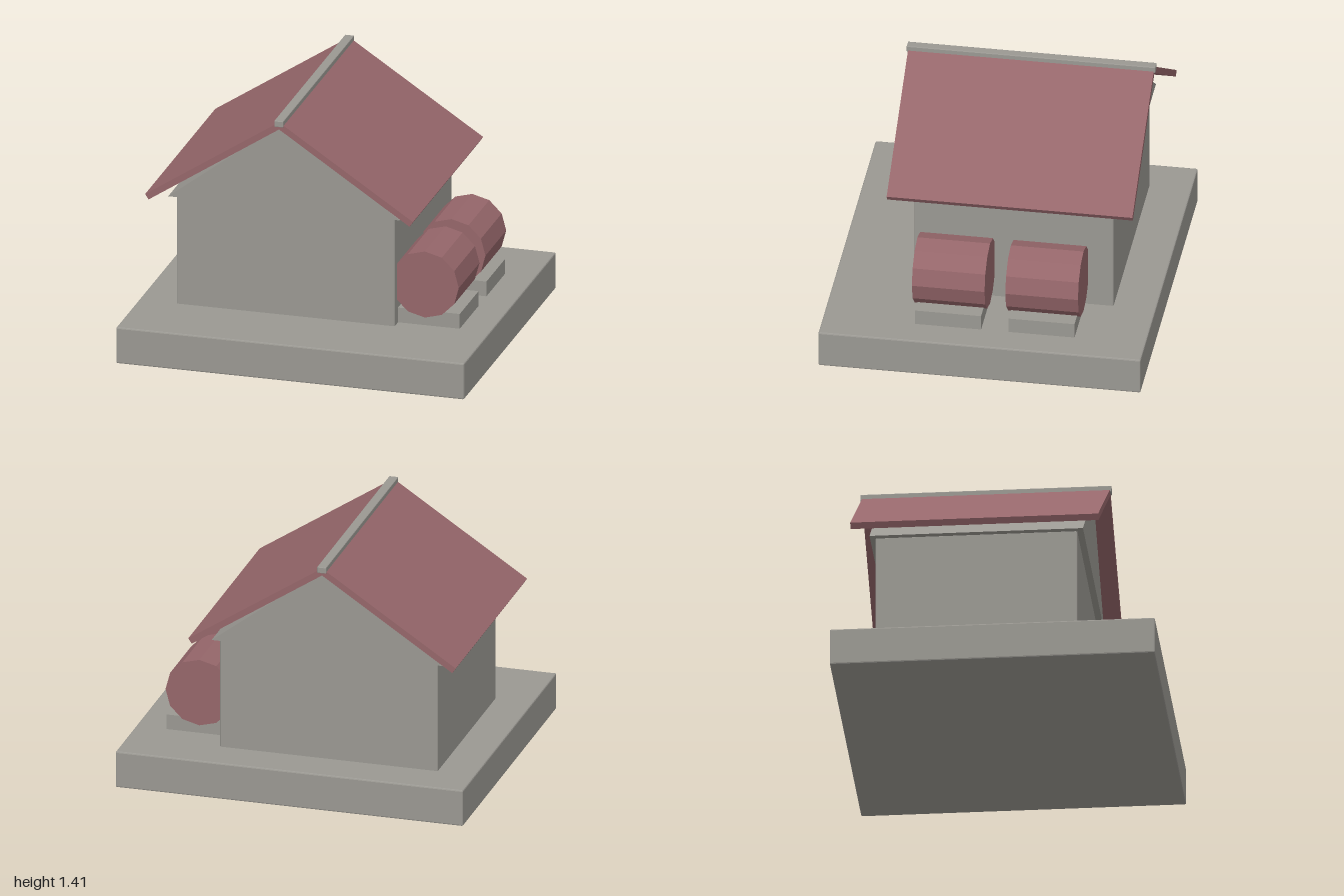
import * as THREE from 'three';
import { RoundedBoxGeometry } from 'three/addons/geometries/RoundedBoxGeometry.js';

const RIDGE_X = -0.157;

export function createModel() {
  const model = new THREE.Group();
  model.name = 'storehouse';

  const stone = new THREE.MeshStandardMaterial({ name: 'stone grey', color: 0x9a9892 });
  const clay = new THREE.MeshStandardMaterial({ name: 'dull red', color: 0x95666a });

  // Faceted mesh with one normal per face
  const add = (name, geometry, material) => {
    const geo = geometry.index ? geometry.toNonIndexed() : geometry;
    geo.computeVertexNormals();
    const mesh = new THREE.Mesh(geo, material);
    mesh.name = name;
    model.add(mesh);
    return mesh;
  };

  // Box from its limits, with an optional small chamfer
  const box = (name, [x0, x1], [y0, y1], [z0, z1], material, bevel = 0) => {
    const size = [x1 - x0, y1 - y0, z1 - z0];
    const geo = bevel
      ? new RoundedBoxGeometry(...size, 1, bevel)
      : new THREE.BoxGeometry(...size);
    geo.translate((x0 + x1) / 2, (y0 + y1) / 2, (z0 + z1) / 2);
    return add(name, geo, material);
  };

  // Outline in x and y, extruded from z0 to z1
  const prism = (name, points, z0, z1, material) => {
    const shape = new THREE.Shape(points.map(([x, y]) => new THREE.Vector2(x, y)));
    const geo = new THREE.ExtrudeGeometry(shape, { depth: z1 - z0, bevelEnabled: false });
    geo.translate(0, 0, z0);
    return add(name, geo, material);
  };

  // Plinth and walls
  box('plinth', [-1, 1], [0, 0.213], [-0.9, 0.9], stone, 0.008);
  box('walls', [-0.785, 0.47], [0.2, 0.862], [-0.665, 0.452], stone, 0.008);

  // Gable block under the roof
  prism('gable', [[-0.822, 0.855], [0.508, 0.855], [RIDGE_X, 1.362]], -0.695, 0.487, stone);

  // Two mirrored roof slabs and the ridge beam
  for (const side of [-1, 1]) {
    const points = [[0, 1.355], [0.75, 0.861], [0.77, 0.891], [0, 1.397]]
      .map(([x, y]) => [RIDGE_X + side * x, y]);
    prism(side < 0 ? 'rightRoof' : 'leftRoof', points, -0.793, 0.58, clay);
  }
  box('ridgeBeam', [RIDGE_X - 0.026, RIDGE_X + 0.026], [1.37, 1.407], [-0.802, 0.588], stone, 0.004);

  // Twelve-sided barrels resting on low blocks beside the wall
  [0.202, -0.32].forEach((z, i) => {
    const barrel = new THREE.CylinderGeometry(0.195, 0.195, 0.406, 12);
    barrel.rotateX(Math.PI / 2).translate(0.63, 0.46, z);
    add(`barrel${i + 1}`, barrel, clay);
    box(`barrelBlock${i + 1}`, [0.44, 0.825], [0.2, 0.3], [z - 0.184, z + 0.184], stone);
  });

  return model;
}
